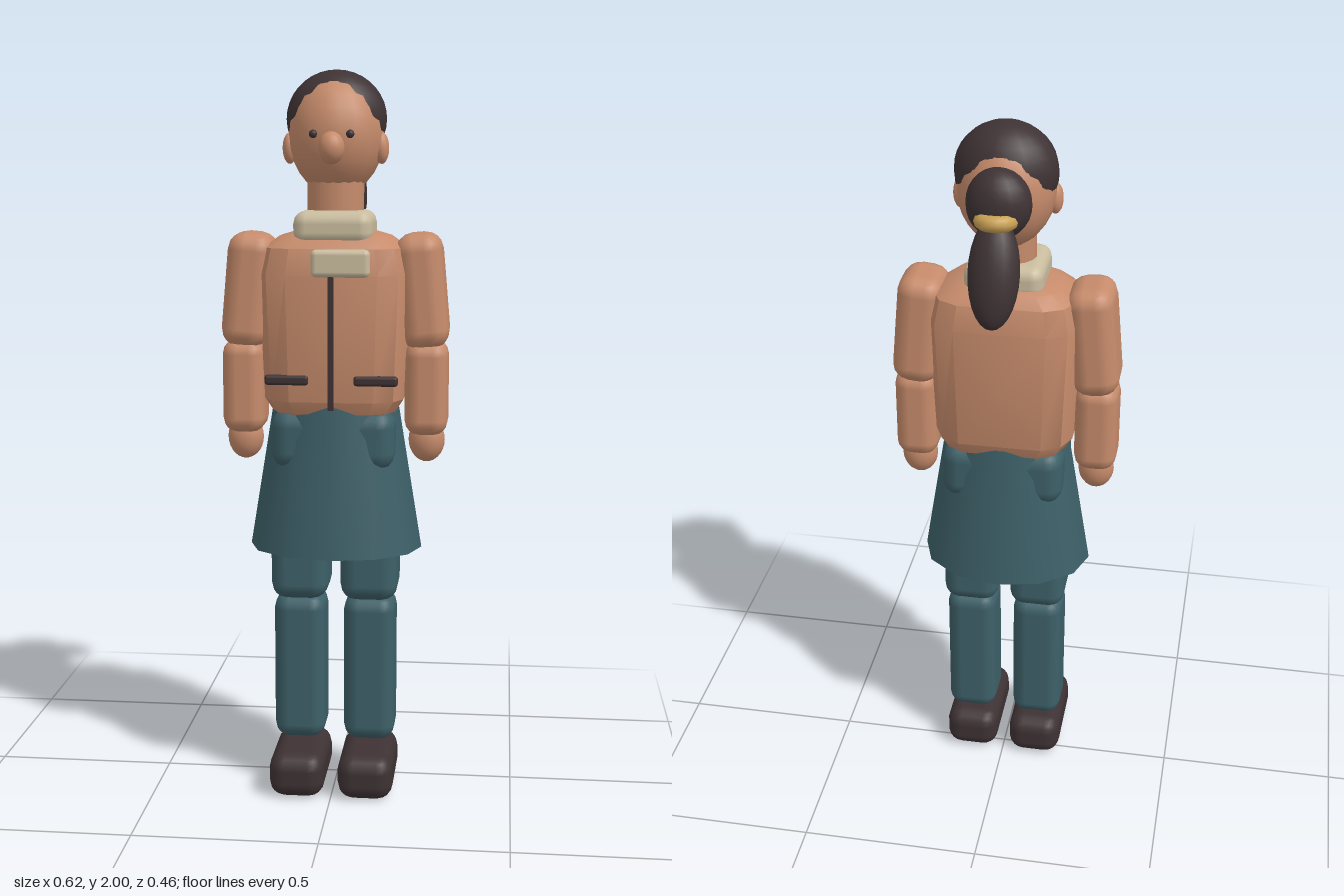
import * as THREE from 'three';
import { toCreasedNormals } from 'three/addons/utils/BufferGeometryUtils.js';
import { RoundedBoxGeometry } from 'three/addons/geometries/RoundedBoxGeometry.js';

const material = (name, color) => {
  const m = new THREE.MeshStandardMaterial({ color });
  m.name = name;
  return m;
};

// Closed loft through bevelled rectangles given as [y, half width, half depth]
function bevelledLoft(sections) {
  const corner = [[0.6, 1], [0.87, 0.8], [1, 0.4]];
  const back = corner.map(([x, z]) => [x, -z]).reverse();
  const right = [...corner, ...back];
  const ring = [...right, ...right.map(([x, z]) => [-x, -z])];
  const n = ring.length, pos = [], idx = [];
  for (const [y, w, d] of sections) for (const [x, z] of ring) pos.push(x * w, y, z * d);
  const last = sections.length - 1;
  const bottom = pos.length / 3, top = bottom + 1;
  pos.push(0, sections[0][0], 0, 0, sections[last][0], 0);
  for (let i = 0; i < n; i++) {
    const j = (i + 1) % n;
    for (let s = 0; s < last; s++) {
      const a = s * n + i, b = s * n + j;
      idx.push(a, b, b + n, a, b + n, a + n);
    }
    idx.push(bottom, j, i, top, last * n + i, last * n + j);
  }
  const g = new THREE.BufferGeometry();
  g.setAttribute('position', new THREE.Float32BufferAttribute(pos, 3));
  g.setIndex(idx);
  return toCreasedNormals(g, 0.5);
}

export function createModel() {
  const model = new THREE.Group();
  model.name = 'figure';
  const skin = material('skin', 0xc68b6b);
  const teal = material('teal', 0x3d6068);
  const dark = material('darkBrown', 0x3e3234);
  const cream = material('cream', 0xcabd9f);
  const gold = material('gold', 0xc9a155);
  const midZ = 0.048;

  const add = (name, geometry, mat, x, y, z) => {
    const mesh = new THREE.Mesh(geometry, mat);
    mesh.name = name;
    mesh.position.set(x, y, z);
    model.add(mesh);
    return mesh;
  };
  const box = (name, mat, [w, h, d], [x, y, z], r) =>
    add(name, new RoundedBoxGeometry(w, h, d, 2, r), mat, x, y, z);
  const ball = (name, mat, [rx, ry, rz], [x, y, z], cut = Math.PI) =>
    add(name, new THREE.SphereGeometry(1, 18, 14, 0, Math.PI * 2, 0, cut).scale(rx, ry, rz), mat, x, y, z);

  // Limbs and paired details
  for (const [side, s] of [['left', 1], ['right', -1]]) {
    box(side + 'Shoe', dark, [0.155, 0.125, 0.285], [s * 0.096, 0.065, 0.087], 0.045);
    box(side + 'LowerLeg', teal, [0.144, 0.42, 0.155], [s * 0.098, 0.35, 0.046], 0.042);
    box(side + 'UpperLeg', teal, [0.16, 0.44, 0.18], [s * 0.097, 0.77, 0.046], 0.045);
    box(side + 'UpperArm', skin, [0.13, 0.315, 0.17], [s * 0.237, 1.412, midZ], 0.05).rotation.z = s * 0.09;
    box(side + 'LowerArm', skin, [0.118, 0.26, 0.143], [s * 0.251, 1.148, 0.052], 0.042);
    ball(side + 'Hand', skin, [0.05, 0.062, 0.042], [s * 0.252, 1.002, 0.052]);
    ball(side + 'Ear', skin, [0.02, 0.042, 0.026], [s * 0.124, 1.793, 0.055]);
    ball(side + 'Eye', dark, [0.011, 0.011, 0.01], [s * 0.049, 1.83, 0.16]);
    box(side + 'Pocket', dark, [0.12, 0.028, 0.02], [s * 0.12, 1.18, 0.181], 0.009);
  }

  // Skirt and hips
  const skirt = new THREE.CylinderGeometry(0.72, 1, 0.41, 12);
  add('skirt', skirt.scale(0.24, 1, 0.185), teal, 0, 0.9, midZ);
  box('hips', teal, [0.34, 0.17, 0.25], [0, 1.01, midZ], 0.05);

  // Jacket body with front fastening
  add('torso', bevelledLoft([
    [1.07, 0.13, 0.09], [1.085, 0.168, 0.122], [1.12, 0.19, 0.137], [1.46, 0.205, 0.137],
    [1.53, 0.19, 0.124], [1.56, 0.15, 0.1], [1.575, 0.1, 0.07],
  ]), skin, 0, 0, midZ);
  add('zip', new THREE.BoxGeometry(0.015, 0.36, 0.012), dark, 0, 1.28, 0.185);
  box('collar', cream, [0.214, 0.092, 0.2], [0, 1.583, 0.06], 0.035);
  box('collarFlap', cream, [0.158, 0.074, 0.038], [0.025, 1.493, 0.18], 0.015);

  // Head
  add('neck', new THREE.CylinderGeometry(0.077, 0.077, 0.13, 16).scale(1, 1, 0.87), skin, 0, 1.645, 0.053);
  ball('head', skin, [0.13, 0.162, 0.135], [0, 1.828, 0.035]);
  ball('nose', skin, [0.035, 0.043, 0.035], [0, 1.794, 0.168]);

  // Hair, gathered into a tied tail
  const cap = ball('hairCap', dark, [0.136, 0.13, 0.11], [0, 1.87, 0.03], Math.PI * 0.78);
  add('hairCapBase', new THREE.CircleGeometry(1, 18).rotateX(Math.PI / 2).scale(0.087, 1, 0.07),
    dark, 0, cap.position.y - 0.1, 0.03);
  ball('hairBun', dark, [0.085, 0.093, 0.07], [0, 1.825, -0.082]);
  add('hairBand', new THREE.TorusGeometry(0.036, 0.021, 10, 20).rotateX(Math.PI / 2 + 0.15), gold, 0, 1.795, -0.124);
  ball('ponytail', dark, [0.067, 0.145, 0.055], [0, 1.668, -0.158]).rotation.x = 0.3;

  return model;
}
